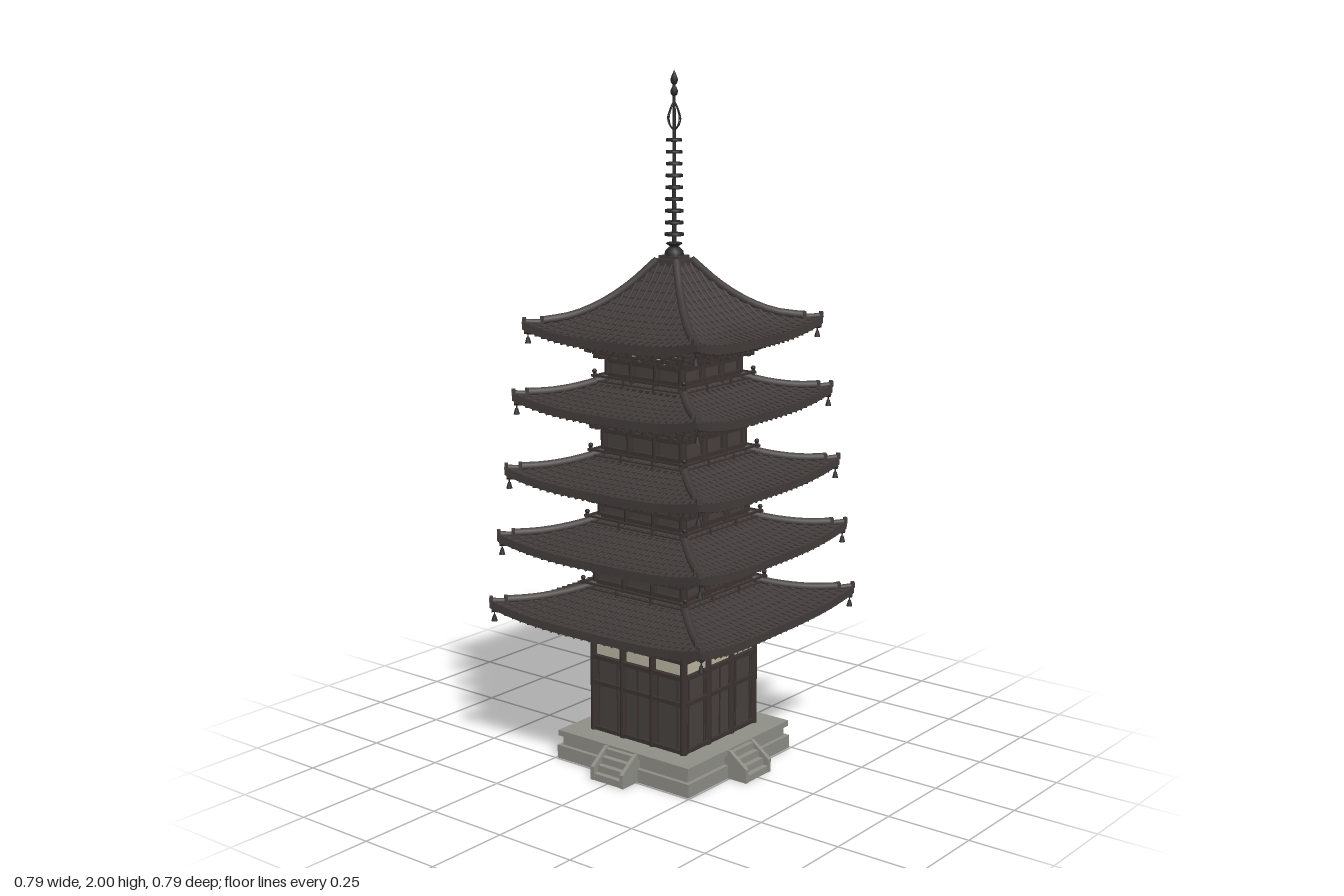
import * as THREE from 'three';
import { mergeGeometries } from 'three/addons/utils/BufferGeometryUtils.js';
import { ParametricGeometry } from 'three/addons/geometries/ParametricGeometry.js';

const material = (name, color, side = THREE.FrontSide) => {
  const m = new THREE.MeshStandardMaterial({ color, side });
  m.name = name;
  return m;
};
const V = (x, y, z) => new THREE.Vector3(x, y, z);
const box = (w, h, d, x, y, z) => new THREE.BoxGeometry(w, h, d).translate(x, y, z);
const rod = (r0, r1, h, x, y, z, n = 8) => new THREE.CylinderGeometry(r0, r1, h, n).translate(x, y, z);
const tube = (pts, r, n, sides) => new THREE.TubeGeometry(new THREE.CatmullRomCurve3(pts), n, r, sides);
const lathe = (pts, n = 16) => new THREE.LatheGeometry(pts.map(p => new THREE.Vector2(...p)), n);

export function createModel() {
  const roofMat = material('roofTile', 0x433d3b, THREE.DoubleSide);
  const woodMat = material('darkWood', 0x3b3331, THREE.DoubleSide);
  const panelMat = material('doorPanel', 0x47413f);
  const plasterMat = material('plaster', 0xbab5a0);
  const stoneMat = material('stone', 0x8f8e87);
  const metalMat = material('metal', 0x2c2b2c, THREE.DoubleSide);

  const model = new THREE.Group();
  model.name = 'pagoda';

  // Collects geometries by part name; each part becomes one merged mesh.
  function builder(name) {
    const parts = new Map();
    const add = (part, mat, geo) => {
      if (!parts.has(part)) parts.set(part, { mat, list: [] });
      parts.get(part).list.push(geo.index ? geo.toNonIndexed() : geo);
    };
    const four = (part, mat, geo) => {
      for (let k = 0; k < 4; k++) add(part, mat, geo.clone().rotateY(k * Math.PI / 2));
    };
    const finish = () => {
      const group = new THREE.Group();
      group.name = name;
      parts.forEach(({ mat, list }, part) => {
        const mesh = new THREE.Mesh(mergeGeometries(list), mat);
        mesh.name = part;
        group.add(mesh);
      });
      model.add(group);
    };
    return { add, four, finish };
  }

  // Stone platform with a stair on each side
  const base = builder('platform');
  base.add('lowerPlatform', stoneMat, box(0.49, 0.04, 0.49, 0, 0.02, 0));
  base.add('upperPlatform', stoneMat, box(0.465, 0.03, 0.465, 0, 0.055, 0));
  base.add('platformCap', stoneMat, box(0.485, 0.017, 0.485, 0, 0.0775, 0));
  for (let i = 0; i < 4; i++) {
    const end = 0.308 - i * 0.017;
    base.four('stairs', stoneMat, box(0.1, 0.02, end - 0.2, 0, 0.01 + i * 0.02, (end + 0.2) / 2));
  }
  for (const s of [-1, 1]) {
    const cheek = new THREE.Shape([[0.2, 0], [0.31, 0], [0.31, 0.04], [0.25, 0.084], [0.2, 0.084]]
      .map(p => new THREE.Vector2(...p)));
    base.four('stairCheek', stoneMat, new THREE.ExtrudeGeometry(cheek, { depth: 0.012, bevelEnabled: false })
      .rotateY(-Math.PI / 2).translate(s * 0.054 + 0.006, 0, 0));
  }
  base.finish();

  const cornerY = [0.492, 0.69, 0.885, 1.1, 1.303];
  const reach = [0.39, 0.371, 0.353, 0.335, 0.312];
  const body = [0.167, 0.16, 0.15, 0.142, 0.133];

  // Walls, posts, beams, balcony and brackets of one storey
  function buildStorey(i) {
    const { add, four, finish } = builder('storey' + (i + 1));
    const b = body[i], cy = cornerY[i], y0 = i ? cornerY[i - 1] + 0.005 : 0.085, y1 = cy - 0.105;
    const h = y1 - y0, mid = (y0 + y1) / 2, bays = [-1, -0.33, 0.33, 1].map(s => s * b);
    add('wallCore', woodMat, box(2 * b - 0.01, h, 2 * b - 0.01, 0, mid, 0));
    add('bracketPlaster', plasterMat, box(2 * b - 0.016, 0.075, 2 * b - 0.016, 0, y1 + 0.037, 0));
    bays.slice(0, 3).forEach(x => four('post', woodMat, rod(0.011, 0.011, h, x, mid, b, 10)));
    const beamYs = i ? [y0 + 0.045, y1 - 0.008] : [0.094, 0.235, 0.312, 0.362, y1 - 0.006];
    beamYs.forEach(y => four('beam', woodMat, box(2 * b, 0.012, 0.018, 0, y, b)));
    for (let k = 0; k < 3; k++) {
      const x = (bays[k] + bays[k + 1]) / 2, w = bays[k + 1] - bays[k] - 0.024;
      if (i) {
        four('panel', panelMat, box(w, h, 0.006, x, mid, b - 0.004));
      } else {
        four('doorPanel', panelMat, box(w, 0.215, 0.006, x, 0.2, b - 0.003));
        four('plasterBand', plasterMat, box(w, 0.032, 0.008, x, 0.337, b - 0.003));
        for (const s of k === 1 ? [0] : [-0.4, 0.4])
          four('doorFrame', woodMat, box(0.004, 0.21, 0.008, x + s * w, 0.2, b));
      }
    }
    // Three stepped rings of bracket beams with blocks and arms below them
    [0.022, 0.048, 0.078].forEach((out, t) => {
      const r = b + out, y = y1 + 0.004 + t * 0.018;
      four('bracketBeam', woodMat, box(2 * r + 0.02, 0.007, 0.011, 0, y + 0.008, r));
      four('bracketArm', woodMat, box(0.014, 0.009, (r - b + 0.02) * Math.SQRT2, 0, y, 0)
        .rotateY(Math.PI / 4).translate((r + b - 0.02) / 2, 0, (r + b - 0.02) / 2));
      bays.forEach(x => {
        four('bracketArm', woodMat, box(0.012, 0.009, out + 0.03, x, y, b + out / 2));
        for (const s of [-1, 0, 1])
          four('bracketBlock', woodMat, box(0.013, 0.009, 0.013, x + s * 0.026, y, r));
      });
    });
    // Balcony with rails on the upper storeys
    if (i) {
      const r = b + 0.032, y = cornerY[i - 1] + 0.02;
      add('balconyFloor', woodMat, box(2 * r, 0.008, 2 * r, 0, y, 0));
      for (const [dy, t] of [[0.011, 0.004], [0.026, 0.006]])
        four('rail', woodMat, box(2 * r + 0.014, t, 0.005, 0, y + dy, r - 0.004));
      [-0.33, 0.33].forEach(s => four('railPost', woodMat, box(0.005, 0.025, 0.005, s * r, y + 0.014, r - 0.004)));
      four('cornerPost', woodMat, rod(0.005, 0.005, 0.034, r - 0.004, y + 0.018, r - 0.004));
      four('postKnob', metalMat, new THREE.SphereGeometry(0.007, 8, 6).translate(r - 0.004, y + 0.039, r - 0.004));
    }
    finish();
  }

  // Upswept, slightly twisted tile roof with ribs, hips, rafters and bells
  function buildRoof(i) {
    const { four, finish } = builder('roof' + (i + 1));
    const top = i === 4, cy = cornerY[i], corner = reach[i] / 1.024, bow = 0.015, lift = 0.033;
    const inner = top ? 0.034 : body[i + 1] - 0.01, yTop = top ? 1.465 : cy + 0.038;
    const eave = corner - bow, yEave = cy - lift, power = top ? 1.85 : 1.4;
    const half = v => inner + (eave - inner) * v;
    const span = v => half(v) + bow * v * v;
    const twist = (x, y, z, v) => V(x + 0.024 * v * z, y, z - 0.024 * v * x);
    const point = (s, v, dy = 0) => {
      const y = yEave + (yTop - yEave) * Math.pow(1 - v, power) + lift * v * v * Math.abs(s) ** 3;
      return twist(s * span(v), y + dy, half(v) + bow * v * v * s * s, v);
    };
    const sheet = (fn, nu, nv) => {
      const g = new ParametricGeometry((u, v, p) => p.copy(fn(u * 2 - 1, v)), nu, nv).toNonIndexed();
      g.computeVertexNormals();
      return g;
    };
    // Overlapping tile courses
    const rows = top ? 13 : 9;
    four('tileCourses', roofMat, sheet((s, v) => {
      const k = Math.round(v * rows * 2);
      return point(s, Math.ceil(k / 2) / rows, k % 2 ? 0.004 : 0);
    }, 20, rows * 2));
    // Rounded tile ribs running down the slope
    const count = Math.floor(corner / 0.024);
    for (let k = -count; k <= count; k++) {
      const x = k * 0.024;
      let v0 = 0;
      while (span(v0) < Math.abs(x) && v0 < 1) v0 += 0.01;
      if (v0 > 0.96) continue;
      const pts = [0, 0.25, 0.5, 0.75, 1].map(t => {
        const v = v0 + (1 - v0) * t;
        return point(x / span(v), v, 0.003);
      });
      four('tileRib', roofMat, tube(pts, 0.0045, 6, 5));
    }
    // Eave edge and soffit
    const wallHalf = body[i] - 0.01;
    four('eaveEdge', roofMat, sheet((s, v) => point(s, 1, -0.02 * v), 20, 1));
    const under = (s, v) => {
      const e = point(s, 1, -0.02), q = V(s * wallHalf, cy - 0.03, wallHalf);
      return e.lerp(q, v);
    };
    four('soffit', woodMat, sheet(under, 20, 4));
    const rafters = 13;
    for (let k = -rafters; k <= rafters; k++) {
      const s = k / (rafters + 0.5);
      const pts = [0.03, 0.5, 0.97].map(v => under(s, v).add(V(0, -0.003, 0)));
      four('rafter', woodMat, tube(pts, 0.0045, 2, 4));
    }
    // Hip ridges in two steps, with end tiles
    const hip = (a, c, dy) => [0, 0.25, 0.5, 0.75, 1].map(t => point(1, a + (c - a) * t, dy));
    four('hipRidge', roofMat, tube(hip(0, 0.86, 0.008), 0.012, 10, 6));
    four('hipRidgeEnd', roofMat, tube(hip(0.8, 1, 0.004), 0.008, 5, 6));
    for (const [v, size] of [[0.86, 0.022], [0.985, 0.015]]) {
      const p = point(1, v, 0.007);
      four('ridgeEndTile', roofMat, new THREE.BoxGeometry(size, size * 1.1, 0.01)
        .rotateY(Math.PI / 4).translate(p.x, p.y, p.z));
    }
    // Corner beam and wind bell
    four('cornerBeam', woodMat, tube([0.02, 0.5, 1].map(v => under(1, v).add(V(0, -0.004, 0))), 0.009, 3, 4));
    const c = point(1, 0.96);
    four('bellHook', metalMat, rod(0.002, 0.002, 0.025, c.x, cy - 0.032, c.z, 5));
    four('windBell', metalMat, rod(0.004, 0.009, 0.018, c.x, cy - 0.05, c.z, 8));
    finish();
  }

  for (let i = 0; i < 5; i++) {
    buildStorey(i);
    buildRoof(i);
  }

  // Metal spire: basin, bowl, nine rings, openwork flame and jewels
  const spire = builder('spire');
  spire.add('spireBasin', roofMat, box(0.08, 0.022, 0.08, 0, 1.466, 0));
  spire.add('spireBasinStep', roofMat, box(0.062, 0.01, 0.062, 0, 1.481, 0));
  spire.add('spireBowl', metalMat, lathe([[0.028, 1.486], [0.026, 1.498], [0.016, 1.508], [0.012, 1.511],
    [0.024, 1.519], [0.02, 1.522], [0, 1.523]]));
  spire.add('spirePole', metalMat, rod(0.004, 0.0065, 0.45, 0, 1.735, 0));
  for (let k = 0; k < 9; k++) {
    const y = 1.545 + k * 0.0328, r = 0.027 - k * 0.0006;
    spire.add('spireRing', metalMat, lathe([[r - 0.004, y - 0.004], [r, y - 0.004], [r, y + 0.004],
      [r - 0.004, y + 0.004], [r - 0.004, y - 0.004]], 20));
    spire.add('ringHub', metalMat, rod(0.009, 0.009, 0.01, 0, y, 0));
    for (const a of [0, 1, 2, 3])
      spire.add('ringSpoke', metalMat, box(2 * r - 0.004, 0.004, 0.004, 0, 0, 0).rotateY(a * Math.PI / 4).translate(0, y, 0));
  }
  const flame = [[0.004, 1.835], [0.018, 1.85], [0.023, 1.868], [0.014, 1.893], [0.003, 1.912]];
  spire.four('flame', metalMat, tube(flame.map(([x, y]) => V(x, y, 0)), 0.0018, 12, 5));
  spire.add('lowerJewel', metalMat, lathe([[0, 1.925], [0.009, 1.932], [0.011, 1.942], [0.006, 1.953], [0, 1.956]], 12));
  spire.add('topJewel', metalMat, lathe([[0, 1.956], [0.008, 1.962], [0.011, 1.972], [0.007, 1.984], [0, 2]], 12));
  spire.finish();

  return model;
}
